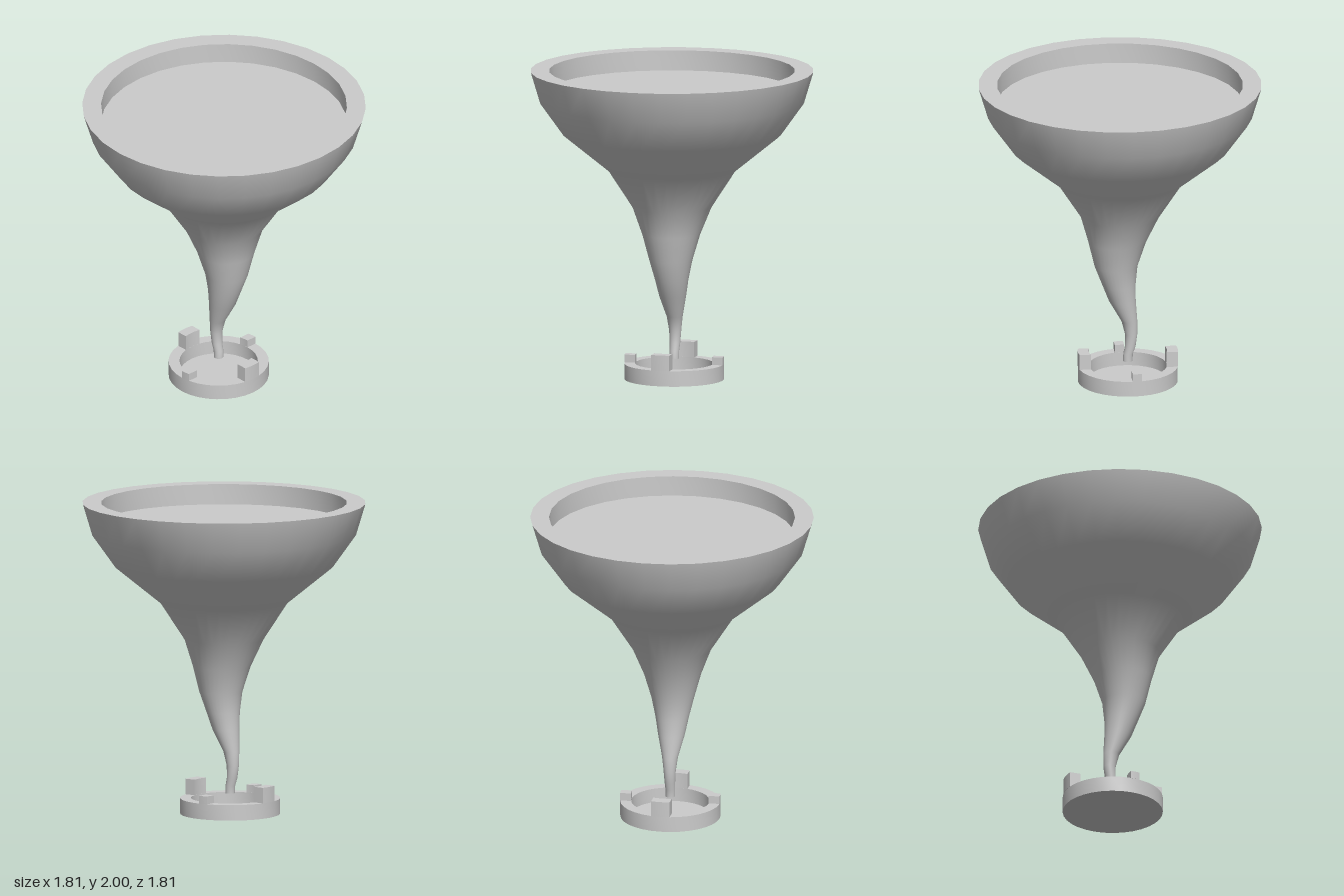
import * as THREE from 'three';
import { toCreasedNormals } from 'three/addons/utils/BufferGeometryUtils.js';

const SIDES = 32;
const BASE_X = -0.05;
const BASE_R = 0.32;
const BASE_INNER = 0.25;

const material = new THREE.MeshStandardMaterial({ color: 0xcccccc });

function part(name, geometry) {
  const mesh = new THREE.Mesh(geometry, material);
  mesh.name = name;
  return mesh;
}

// Turned part with crisp edges between profile segments
function turned(profile) {
  const points = profile.map(([r, y]) => new THREE.Vector2(r, y));
  return toCreasedNormals(new THREE.LatheGeometry(points, SIDES), 0.6);
}

// Bent funnel wall: rings of [height, centre x, radius], from the top down
function funnelWall() {
  const rings = [
    [2, 0, 0.905], [1.8, 0, 0.845], [1.59, 0, 0.695], [1.355, 0, 0.405],
    [1.12, 0, 0.253], [0.945, 0.018, 0.185], [0.78, 0.026, 0.138],
    [0.65, 0.007, 0.107], [0.54, -0.015, 0.086], [0.4, -0.06, 0.051],
    [0.31, -0.072, 0.039], [0.23, -0.066, 0.034], [0.18, -0.052, 0.031],
    [0.13, -0.05, 0.03],
  ];
  const n = rings.length - 1;
  const geometry = new THREE.CylinderGeometry(1, 1, 1, SIDES, n, true);
  const pos = geometry.attributes.position;
  for (let i = 0; i < pos.count; i++) {
    const [y, cx, r] = rings[Math.round((0.5 - pos.getY(i)) * n)];
    pos.setXYZ(i, cx + pos.getX(i) * r, y, pos.getZ(i) * r);
  }
  geometry.computeVertexNormals();
  // Share the normals across the seam
  const normal = geometry.attributes.normal;
  for (let row = 0; row <= n; row++) {
    const a = row * (SIDES + 1), b = a + SIDES;
    const sum = new THREE.Vector3().fromBufferAttribute(normal, a)
      .add(new THREE.Vector3().fromBufferAttribute(normal, b)).normalize();
    normal.setXYZ(a, sum.x, sum.y, sum.z);
    normal.setXYZ(b, sum.x, sum.y, sum.z);
  }
  return geometry;
}

// Prong on the base ring, spanning from..to sideways, with curved inner and outer faces
function prong(name, from, to, height, turn) {
  const angle = (w, r) => Math.asin(w / r);
  const shape = new THREE.Shape();
  shape.absarc(0, 0, BASE_R, angle(from, BASE_R), angle(to, BASE_R), false);
  shape.absarc(0, 0, BASE_INNER, angle(to, BASE_INNER), angle(from, BASE_INNER), true);
  shape.closePath();
  const geometry = new THREE.ExtrudeGeometry(shape, { depth: height, bevelEnabled: false, curveSegments: 3 });
  geometry.rotateX(-Math.PI / 2);
  const mesh = part(name, toCreasedNormals(geometry, 0.6));
  mesh.position.y = 0.1;
  mesh.rotation.y = turn;
  return mesh;
}

export function createModel() {
  const model = new THREE.Group();
  model.name = 'funnelOnBase';

  // Funnel: bent wall, sunken top and closed tip
  const funnel = new THREE.Group();
  funnel.name = 'funnel';
  funnel.add(part('funnelWall', funnelWall()));
  funnel.add(part('funnelTop', turned([[0.905, 2], [0.785, 2], [0.785, 1.87], [0, 1.87]])));
  const tip = part('funnelTip', new THREE.CircleGeometry(0.03, SIDES).rotateX(Math.PI / 2));
  tip.position.set(BASE_X, 0.13, 0);
  funnel.add(tip);
  model.add(funnel);

  // Base: shallow dish with two tall side prongs and two short offset ones
  const base = new THREE.Group();
  base.name = 'base';
  base.position.x = BASE_X;
  base.add(part('dish', turned([
    [0, 0], [BASE_R, 0], [BASE_R, 0.1], [BASE_INNER, 0.1], [BASE_INNER, 0.01], [0, 0.01],
  ])));
  for (const side of [1, -1]) {
    base.add(prong(side > 0 ? 'leftProng' : 'rightProng', -0.06, 0.06, 0.1, side > 0 ? 0 : Math.PI));
    base.add(prong(side > 0 ? 'frontProng' : 'backProng', 0, 0.06, 0.05, -side * Math.PI / 2));
  }
  model.add(base);

  return model;
}
